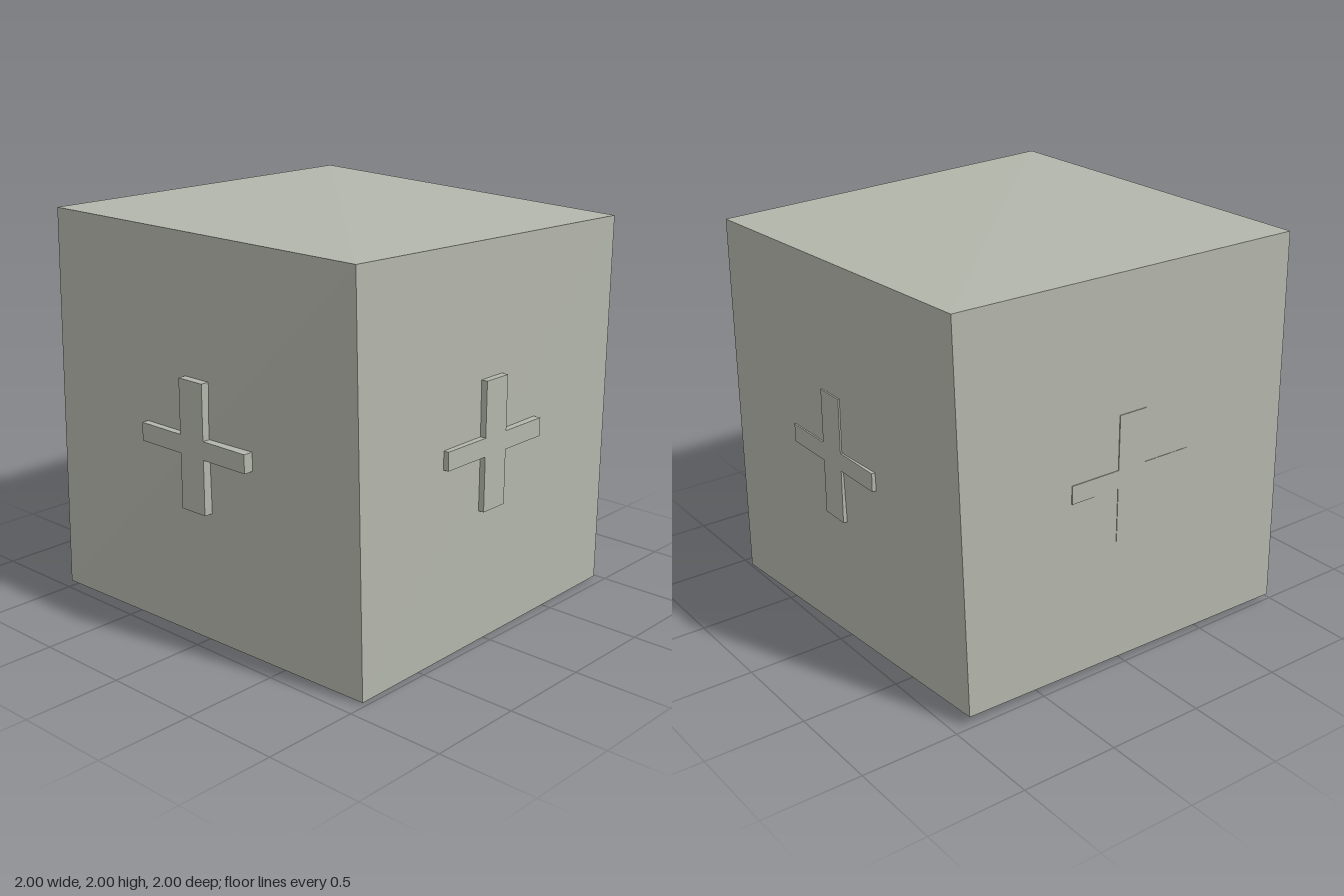
import * as THREE from 'three';

// Cross outline, extruded along +z
function crossGeometry(depth) {
  const w = 0.078, h = 0.32, a = 0.35, t = 0.046;
  const shape = new THREE.Shape([
    [-w, -h], [w, -h], [w, -t], [a, -t], [a, t], [w, t],
    [w, h], [-w, h], [-w, t], [-a, t], [-a, -t], [-w, -t],
  ].map(([x, y]) => new THREE.Vector2(x, y)));
  return new THREE.ExtrudeGeometry(shape, { depth, bevelEnabled: false });
}

// Slightly irregular cube: every box corner is moved to its hewn position
function blockGeometry() {
  const corners = {
    '-1,-1,1': [-0.905, 0.01, 0.985],
    '1,-1,1': [0.99, 0, 0.938],
    '1,-1,-1': [0.922, 0.055, -0.993],
    '-1,-1,-1': [-0.98, 0.03, -1],
    '-1,1,1': [-0.943, 1.993, 0.97],
    '1,1,1': [0.99, 1.94, 0.947],
    '1,1,-1': [0.99, 2, -0.985],
    '-1,1,-1': [-0.945, 1.997, -0.997],
  };
  const geometry = new THREE.BoxGeometry(2, 2, 2).toNonIndexed();
  const p = geometry.attributes.position;
  for (let i = 0; i < p.count; i++) {
    const key = [p.getX(i), p.getY(i), p.getZ(i)].map(Math.sign).join(',');
    p.setXYZ(i, ...corners[key]);
  }
  geometry.computeVertexNormals();
  return geometry;
}

export function createModel() {
  const model = new THREE.Group();
  model.name = 'stoneBlock';
  const stone = new THREE.MeshStandardMaterial({ color: 0xb3b6ab });
  stone.name = 'paleStone';

  const block = new THREE.Mesh(blockGeometry(), stone);
  block.name = 'block';
  model.add(block);

  // One raised cross on each upright side
  const depth = 0.12, outer = 0.998;
  const cross = crossGeometry(depth);
  ['frontCross', 'leftCross', 'backCross', 'rightCross'].forEach((name, i) => {
    const angle = i * Math.PI / 2;
    const mesh = new THREE.Mesh(cross, stone);
    mesh.name = name;
    mesh.rotation.y = angle;
    mesh.position.set(Math.sin(angle) * (outer - depth), 1.002, Math.cos(angle) * (outer - depth));
    model.add(mesh);
  });
  return model;
}
